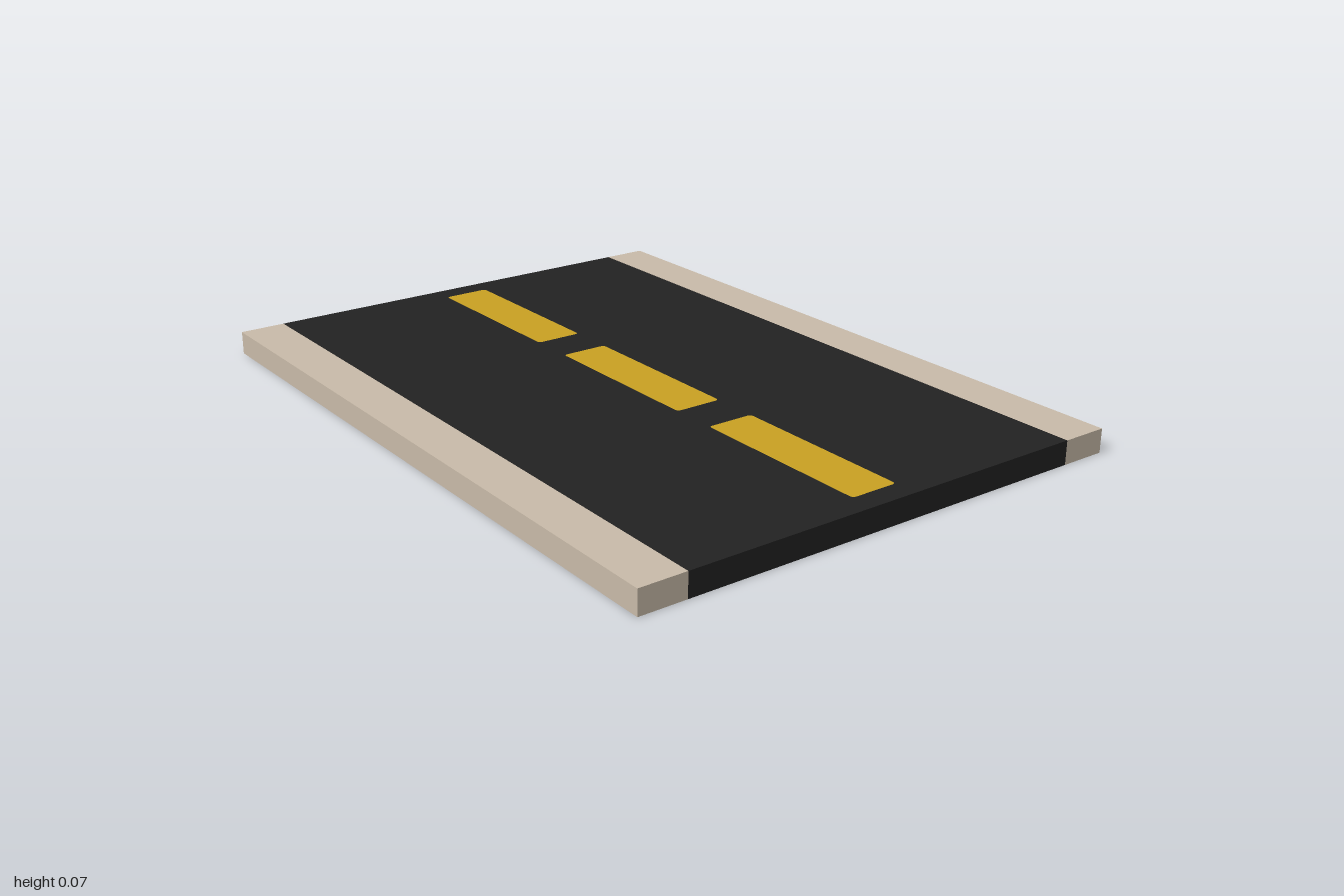
import * as THREE from 'three';

const LENGTH = 2, HEIGHT = 0.067, ROAD = 1.2, KERB = 0.133;
const DASH_LENGTH = 0.535, DASH_WIDTH = 0.138, DASH_RADIUS = 0.012;
const DASH_X = [-0.667, 0, 0.667];

const material = (name, color) => {
  const m = new THREE.MeshStandardMaterial({ color });
  m.name = name;
  return m;
};

// Traces a rounded rectangle centred on (cx, 0)
function roundedRect(path, cx, w, h, r) {
  const x = w / 2, y = h / 2;
  path.moveTo(cx - x + r, -y);
  path.lineTo(cx + x - r, -y);
  path.quadraticCurveTo(cx + x, -y, cx + x, -y + r);
  path.lineTo(cx + x, y - r);
  path.quadraticCurveTo(cx + x, y, cx + x - r, y);
  path.lineTo(cx - x + r, y);
  path.quadraticCurveTo(cx - x, y, cx - x, y - r);
  path.lineTo(cx - x, -y + r);
  path.quadraticCurveTo(cx - x, -y, cx - x + r, -y);
  return path;
}

export function createModel() {
  const asphalt = material('asphalt', 0x222222);
  const concrete = material('kerb concrete', 0xc8baa8);
  const yellow = material('yellow paint', 0xc9a022);

  const model = new THREE.Group();
  model.name = 'roadSegment';
  const add = (name, geometry, mat) => {
    const mesh = new THREE.Mesh(geometry, mat);
    mesh.name = name;
    model.add(mesh);
    return mesh;
  };

  // Road sheet outline, with openings that the dashes fill flush
  const sheet = new THREE.Shape([
    new THREE.Vector2(-LENGTH / 2, -ROAD / 2),
    new THREE.Vector2(LENGTH / 2, -ROAD / 2),
    new THREE.Vector2(LENGTH / 2, ROAD / 2),
    new THREE.Vector2(-LENGTH / 2, ROAD / 2),
  ]);
  for (const x of DASH_X) {
    sheet.holes.push(roundedRect(new THREE.Path(), x, DASH_LENGTH, DASH_WIDTH, DASH_RADIUS));
  }

  // Upper and lower faces: asphalt and lane dashes
  for (const [side, y, turn] of [['Top', HEIGHT, -1], ['Bottom', 0, 1]]) {
    const lay = (name, shape, mat) => {
      const geometry = new THREE.ShapeGeometry(shape, 4);
      geometry.rotateX(turn * Math.PI / 2).translate(0, y, 0);
      add(name, geometry, mat);
    };
    lay('road' + side, sheet, asphalt);
    DASH_X.forEach((x, i) => {
      const dash = roundedRect(new THREE.Shape(), x, DASH_LENGTH, DASH_WIDTH, DASH_RADIUS);
      lay('laneDash' + side + (i + 1), dash, yellow);
    });
  }

  for (const s of [-1, 1]) {
    // Cut end of the road
    const end = add(s > 0 ? 'roadEndLeft' : 'roadEndRight', new THREE.PlaneGeometry(ROAD, HEIGHT), asphalt);
    end.rotation.y = s * Math.PI / 2;
    end.position.set(s * LENGTH / 2, HEIGHT / 2, 0);

    // Kerb along the road edge
    const kerb = add(s > 0 ? 'kerbFront' : 'kerbBack', new THREE.BoxGeometry(LENGTH, HEIGHT, KERB), concrete);
    kerb.position.set(0, HEIGHT / 2, s * (ROAD + KERB) / 2);
  }

  return model;
}
